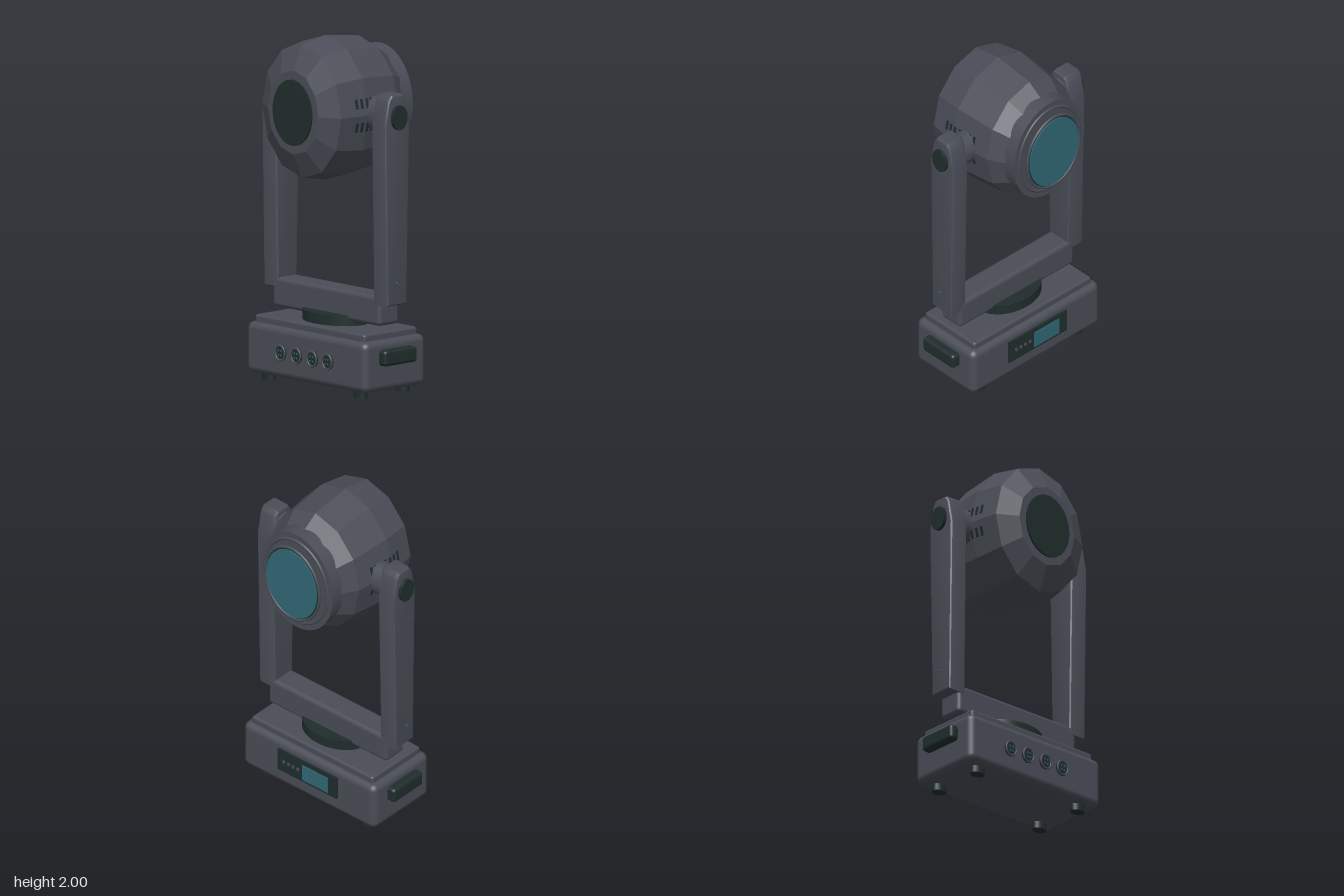
import * as THREE from 'three';
import { RoundedBoxGeometry } from 'three/addons/geometries/RoundedBoxGeometry.js';
import { toCreasedNormals } from 'three/addons/utils/BufferGeometryUtils.js';

const CZ = 0.02;       // depth centre of base and yoke
const HY = 1.59;       // height of the tilt axis
const SQUASH = 0.86;   // head is narrower than it is tall

export function createModel() {
  const model = new THREE.Group();
  model.name = 'movingHeadLight';
  const mat = (name, color) => {
    const m = new THREE.MeshStandardMaterial({ color });
    m.name = name;
    return m;
  };
  const body = mat('body grey', 0x4a4d57);
  const dark = mat('dark trim', 0x1f2d2c);
  const teal = mat('teal glass', 0x306874);

  const add = (name, geo, material, x = 0, y = 0, z = 0, parent = model) => {
    const mesh = new THREE.Mesh(geo, material);
    mesh.name = name;
    mesh.position.set(x, y, z);
    parent.add(mesh);
    return mesh;
  };
  const rbox = (w, h, d, r) => new RoundedBoxGeometry(w, h, d, 3, r);
  // Elliptical discs and drums along each axis
  const drumY = (rx, rz, h) => new THREE.CylinderGeometry(1, 1, h, 40).scale(rx, 1, rz);
  const drumZ = (rx, ry, d) => new THREE.CylinderGeometry(1, 1, d, 48).rotateX(Math.PI / 2).scale(rx, ry, 1);
  const drumX = (ry, rz, w) => new THREE.CylinderGeometry(1, 1, w, 40).rotateZ(Math.PI / 2).scale(1, ry, rz);
  const ring = (rx, ry, tube) => new THREE.TorusGeometry(1, tube / ry, 10, 48).scale(rx, ry, ry);

  // Base housing
  add('base', rbox(0.98, 0.29, 0.47, 0.04), body, 0, 0.185, 0.018);
  add('baseTopPlate', rbox(0.9, 0.06, 0.405, 0.015), body, 0, 0.34, 0.018);
  add('turntable', drumY(0.215, 0.156, 0.07), dark, 0, 0.395, CZ);
  for (const x of [-0.375, 0.375])
    for (const z of [-0.14, 0.18]) add('foot', drumY(0.045, 0.033, 0.05), dark, x, 0.025, z);

  // Sockets on the front of the base
  for (const x of [-0.195, -0.065, 0.065, 0.19]) {
    const socket = new THREE.Group();
    socket.name = 'socket';
    socket.position.set(x, 0.188, 0.253);
    model.add(socket);
    add('socketPlate', drumZ(0.04, 0.045, 0.02), dark, 0, 0, 0, socket);
    add('socketRim', ring(0.037, 0.042, 0.006), body, 0, 0, 0.011, socket);
    add('socketCore', drumZ(0.026, 0.03, 0.026), dark, 0, 0, 0, socket);
    for (let i = 0; i < 4; i++) {
      const a = (i + 0.5) * Math.PI / 2;
      add('socketPin', drumZ(0.005, 0.005, 0.006), teal, Math.cos(a) * 0.015, Math.sin(a) * 0.018, 0.013, socket);
    }
  }

  // Control panel on the back of the base
  add('controlPanel', new THREE.BoxGeometry(0.44, 0.14, 0.016), dark, 0, 0.21, -0.221);
  add('displayScreen', new THREE.BoxGeometry(0.19, 0.1, 0.008), teal, -0.063, 0.205, -0.23);
  for (let i = 0; i < 4; i++)
    add('panelButton', drumZ(0.01, 0.011, 0.008), body, 0.17 - i * 0.035, 0.21, -0.23);

  // Yoke
  add('yokeCrossbar', rbox(0.88, 0.17, 0.155, 0.025), body, 0, 0.485, CZ);
  const b = 0.018;
  const profile = new THREE.Shape([
    [-0.1 + b, 0.52 + b], [0.055 - b, 0.52 + b], [0.075 - b, 1.55],
    [0.048 - b, 1.69 - b / 2], [0.032 - b, 1.72 - b], [-0.072 + b, 1.72 - b],
    [-0.088 + b, 1.69 - b / 2], [-0.115 + b, 1.55],
  ].map(([x, y]) => new THREE.Vector2(x, y)));
  const armGeo = toCreasedNormals(new THREE.ExtrudeGeometry(profile, {
    depth: 0.12 - 2 * b, bevelSize: b, bevelThickness: b, bevelSegments: 3,
  }).translate(0, 0, -0.06 + b).rotateY(Math.PI / 2), 0.5);

  for (const s of [-1, 1]) {
    add('carryHandle', rbox(0.08, 0.09, 0.25, 0.02), dark, s * 0.5, 0.235, CZ);
    add('yokeArm', armGeo, body, s * 0.45, 0, 0);
    add('tiltHub', drumX(0.1, 0.083, 0.12), body, s * 0.35, HY, CZ);
    add('tiltCap', drumX(0.07, 0.055, 0.04), dark, s * 0.51, HY, CZ);
    add('armIndicator', drumX(0.007, 0.006, 0.014), teal, s * 0.511, 0.65, 0.03);
  }

  // Faceted head shell: [height radius, z], back to front
  const headProfile = [[0, -0.25], [0.315, -0.25], [0.378, -0.155], [0.41, 0.1], [0.378, 0.28], [0.24, 0.345], [0, 0.345]];
  const headGeo = new THREE.LatheGeometry(headProfile.map(([r, z]) => new THREE.Vector2(r, z)), 12)
    .rotateX(Math.PI / 2).scale(SQUASH, 1, 1).toNonIndexed();
  headGeo.computeVertexNormals();
  add('headShell', headGeo, body, 0, HY, 0);
  add('headEndCap', drumZ(0.158, 0.187, 0.014), dark, 0, HY, 0.349);

  // Cooling slots following the side facets
  const radiusAt = (z) => z > 0.1 ? 0.41 - (z - 0.1) * 0.178 : 0.41 - (0.1 - z) * 0.125;
  for (const s of [-1, 1])
    for (const v of [-1, 1])
      for (let i = 0; i < 7; i++) {
        const z = 0.165 - i * 0.035;
        const slot = add('coolingSlot', new THREE.BoxGeometry(0.008, 0.055, 0.016), dark,
          s * (radiusAt(z) * SQUASH - 0.016), HY + v * 0.067, z);
        slot.rotation.z = s * v * 0.23;
      }

  // Lens barrel, lip and floating front glass at the back
  add('lensBarrel', drumZ(0.27, 0.317, 0.1), body, 0, HY, -0.268);
  add('barrelLip', ring(0.232, 0.273, 0.011), body, 0, HY, -0.316);
  add('lensRing', ring(0.2, 0.237, 0.009), body, 0, HY, -0.351);
  add('lensBacking', drumZ(0.2, 0.237, 0.006), dark, 0, HY, -0.35);
  add('lensGlass', drumZ(0.186, 0.222, 0.009), teal, 0, HY, -0.356);
  return model;
}
